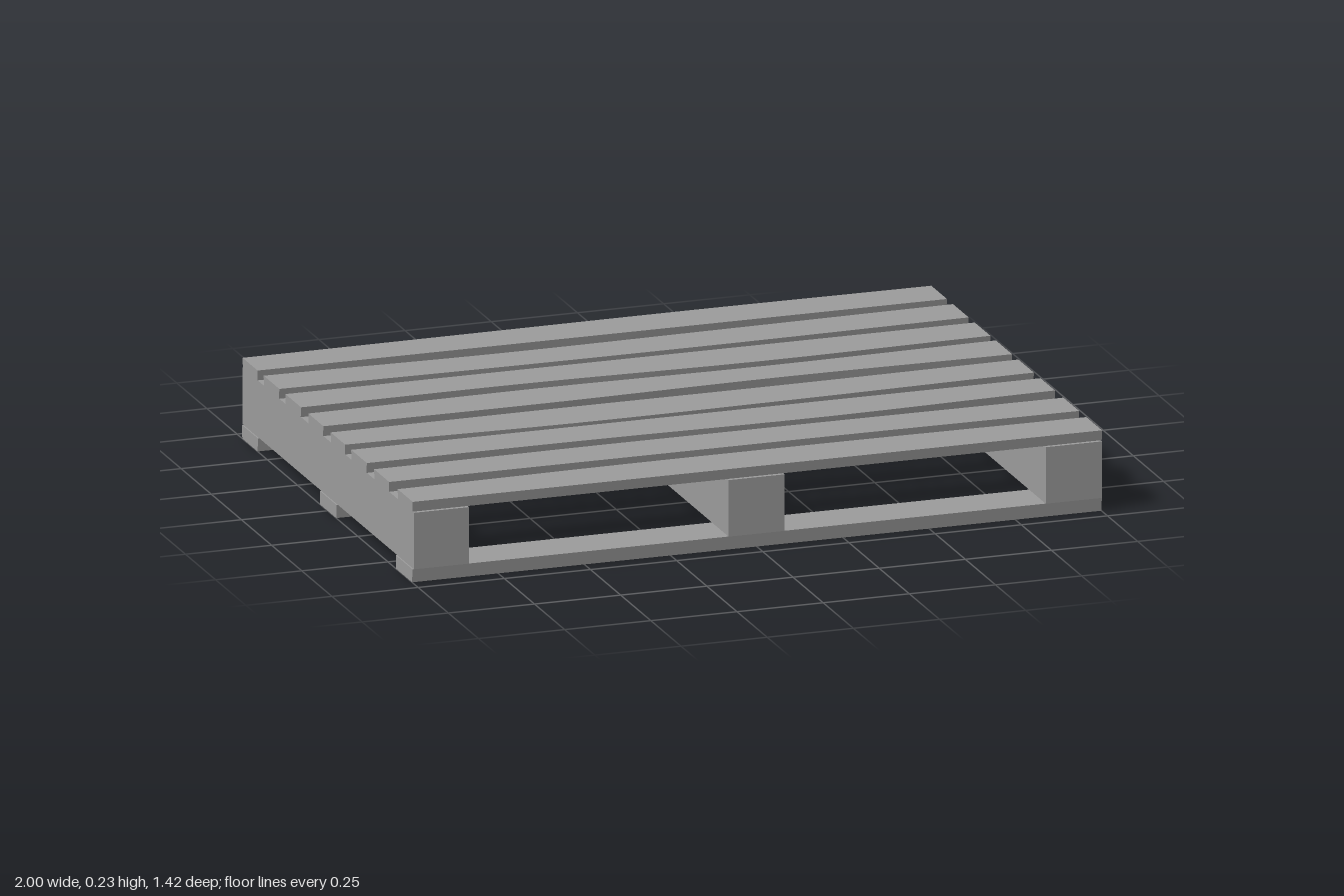
import * as THREE from 'three';
import { toCreasedNormals } from 'three/addons/utils/BufferGeometryUtils.js';

const material = new THREE.MeshStandardMaterial({ color: 0x9c9c9c });

// Smooth curve through edge positions spaced evenly along a board
function edgeCurve(values) {
  return new THREE.SplineCurve(values.map((v, i) => new THREE.Vector2(i, v)));
}

// Plank along x, slightly narrower underneath, whose back and front edges follow given z positions
function plank(name, back, front, y0, y1) {
  const w = 0.065, taper = 0.003;
  const section = new THREE.Shape([
    [-w + taper, y0], [w - taper, y0], [w, y1], [-w, y1],
  ].map(([x, y]) => new THREE.Vector2(x, y)));
  const geo = new THREE.ExtrudeGeometry(section, { depth: 2, steps: 15, bevelEnabled: false });
  geo.translate(0, 0, -1).rotateY(Math.PI / 2);
  const backCurve = edgeCurve(back), frontCurve = edgeCurve(front);
  const pos = geo.attributes.position;
  for (let i = 0; i < pos.count; i++) {
    const t = THREE.MathUtils.clamp((pos.getX(i) + 1) / 2, 0, 1);
    const k = (pos.getZ(i) + w) / (2 * w);
    pos.setZ(i, THREE.MathUtils.lerp(backCurve.getPoint(t).y, frontCurve.getPoint(t).y, k));
  }
  const mesh = new THREE.Mesh(toCreasedNormals(geo, 0.5), material);
  mesh.name = name;
  return mesh;
}

export function createModel() {
  const pallet = new THREE.Group();
  pallet.name = 'pallet';

  // Deck boards: back and front edge z at four stations from -x to +x
  const deck = [
    [[-0.705, -0.71, -0.715, -0.71], [-0.58, -0.58, -0.58, -0.58]],
    [[-0.53, -0.512, -0.52, -0.53], [-0.4, -0.39, -0.39, -0.4]],
    [[-0.35, -0.35, -0.35, -0.35], [-0.22, -0.225, -0.207, -0.22]],
    [[-0.16, -0.172, -0.162, -0.175], [-0.035, -0.035, -0.05, -0.04]],
    [[0.025, 0.02, 0.02, 0.012], [0.145, 0.165, 0.157, 0.14]],
    [[0.195, 0.195, 0.195, 0.195], [0.325, 0.325, 0.335, 0.315]],
    [[0.385, 0.378, 0.38, 0.385], [0.51, 0.51, 0.51, 0.515]],
    [[0.58, 0.567, 0.567, 0.575], [0.705, 0.705, 0.705, 0.705]],
  ];
  deck.forEach(([back, front], i) =>
    pallet.add(plank(`deckBoard${i + 1}`, back, front, 0.203, 0.232)));

  // Three bearers running front to back
  [['rightBearer', -0.998, -0.838], ['middleBearer', -0.085, 0.077], ['leftBearer', 0.835, 0.998]]
    .forEach(([name, x0, x1]) => {
      const bearer = new THREE.Mesh(new THREE.BoxGeometry(x1 - x0, 0.162, 1.42), material);
      bearer.position.set((x0 + x1) / 2, 0.121, 0);
      bearer.name = name;
      pallet.add(bearer);
    });

  // Three bottom boards
  [['backBottomBoard', -0.71, -0.577], ['middleBottomBoard', -0.065, 0.075], ['frontBottomBoard', 0.565, 0.703]]
    .forEach(([name, b, f]) =>
      pallet.add(plank(name, [b, b, b, b], [f, f, f, f], 0, 0.038)));

  return pallet;
}
